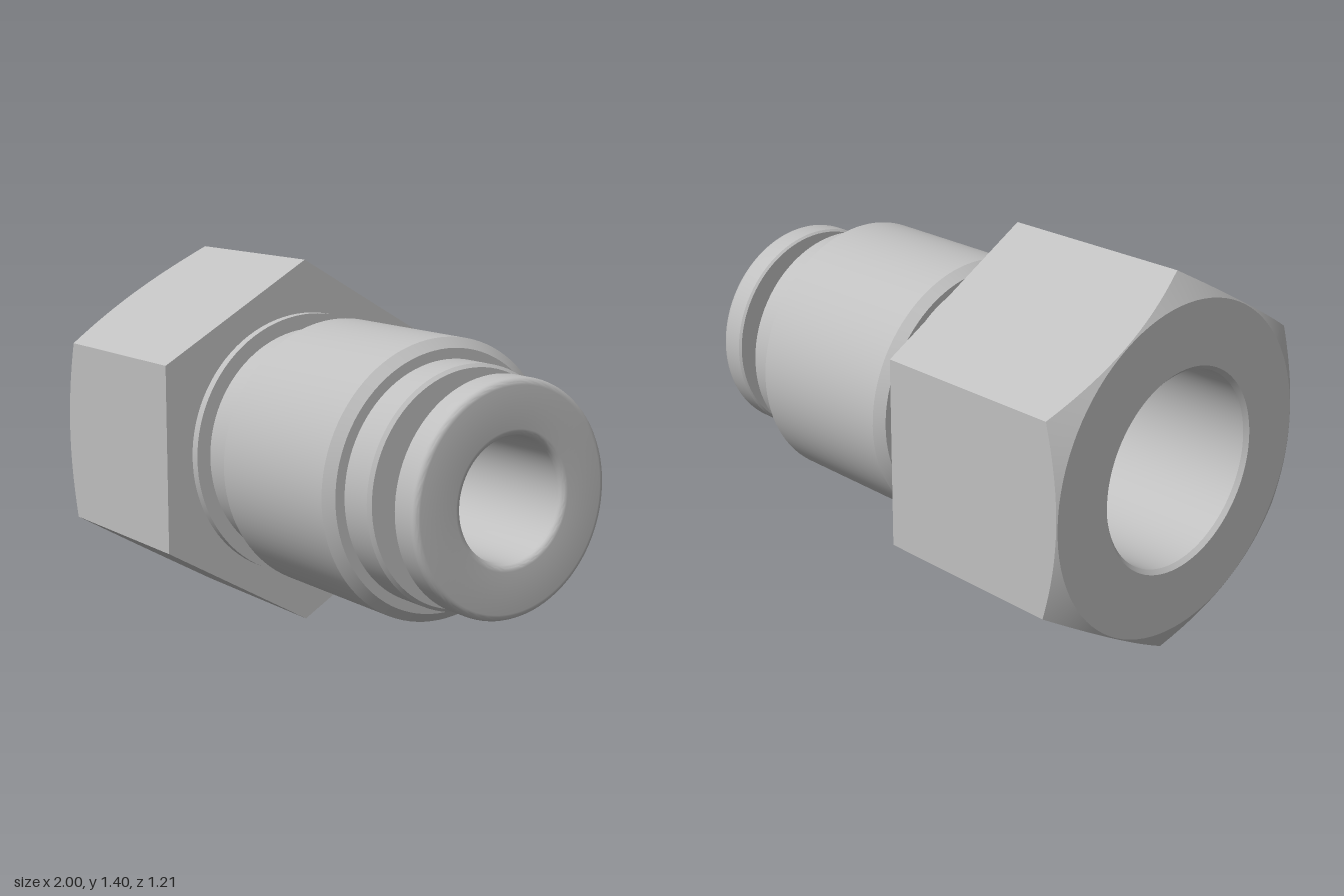
import * as THREE from 'three';
import { toCreasedNormals } from 'three/addons/utils/BufferGeometryUtils.js';

const AXIS_Y = 0.7;      // height of the fitting's axis
const APOTHEM = 0.606;   // half the width across the hex flats
const SEGMENTS = 96;     // multiple of 12, so hex corners fall on vertices

// Revolve [x, radius] points about the x axis
function revolve(points) {
  const profile = points.map(([x, r]) => new THREE.Vector2(r, x));
  return new THREE.LatheGeometry(profile, SEGMENTS).rotateZ(-Math.PI / 2);
}

// Quarter-round points about (cx, cr), between two angles
function fillet(cx, cr, radius, from, to, steps = 6) {
  return Array.from({ length: steps + 1 }, (_, i) => {
    const a = from + ((to - from) * i) / steps;
    return [cx + radius * Math.cos(a), cr + radius * Math.sin(a)];
  });
}

// Push the outermost rings of a revolved shape out to a hexagon with a conical chamfer
function makeHex(geometry) {
  const p = geometry.attributes.position;
  const sector = Math.PI / 3;
  for (let i = 0; i < p.count; i++) {
    const x = p.getX(i), y = p.getY(i), z = p.getZ(i);
    const r = Math.hypot(y, z);
    if (r < 0.65) continue;
    const angle = Math.atan2(z, y) + 2 * Math.PI;
    const hexR = APOTHEM / Math.cos((angle % sector) - sector / 2);
    const newX = x < -0.9 ? -1 + (hexR - 0.602) * 0.56 : x;
    p.setXYZ(i, newX, (y * hexR) / r, (z * hexR) / r);
  }
  return geometry;
}

export function createModel() {
  const metal = new THREE.MeshStandardMaterial({ color: 0xc0c0c0 });
  metal.name = 'brushed grey metal';

  const group = new THREE.Group();
  group.name = 'tubeFitting';
  const add = (name, geometry) => {
    const mesh = new THREE.Mesh(toCreasedNormals(geometry, 0.4), metal);
    mesh.name = name;
    mesh.position.y = AXIS_Y;
    group.add(mesh);
  };

  // Hex nut with chamfered end and wide blind socket
  add('hexNut', makeHex(revolve([
    [-0.35, 0.07], [-0.35, 0.355], [-0.985, 0.355], [-1, 0.37],
    [-1, 0.602], [-0.95, 0.7], [-0.22, 0.7], [-0.22, 0.44],
  ])));

  // Stepped round body, finishing with the narrow passage through its middle
  add('body', revolve([
    [-0.22, 0.5], [-0.185, 0.5], [-0.185, 0.445], [-0.035, 0.445],
    [-0.035, 0.47], [0, 0.5], [0.615, 0.5], [0.645, 0.465], [0.645, 0.428],
    [0.77, 0.428], [0.782, 0.416], [0.782, 0.23],
  ]));
  add('passage', revolve([[0.1, 0.22], [0.1, 0.07], [-0.35, 0.07]]));

  // Release collar: neck, rounded flange and tube socket
  add('releaseCollar', revolve([
    [0.77, 0.247], [0.89, 0.247], [0.89, 0.402], [0.898, 0.41],
    ...fillet(0.975, 0.385, 0.025, Math.PI / 2, 0),
    ...fillet(0.975, 0.24, 0.025, 0, -Math.PI / 2),
    [0.1, 0.215],
  ]));

  return group;
}
